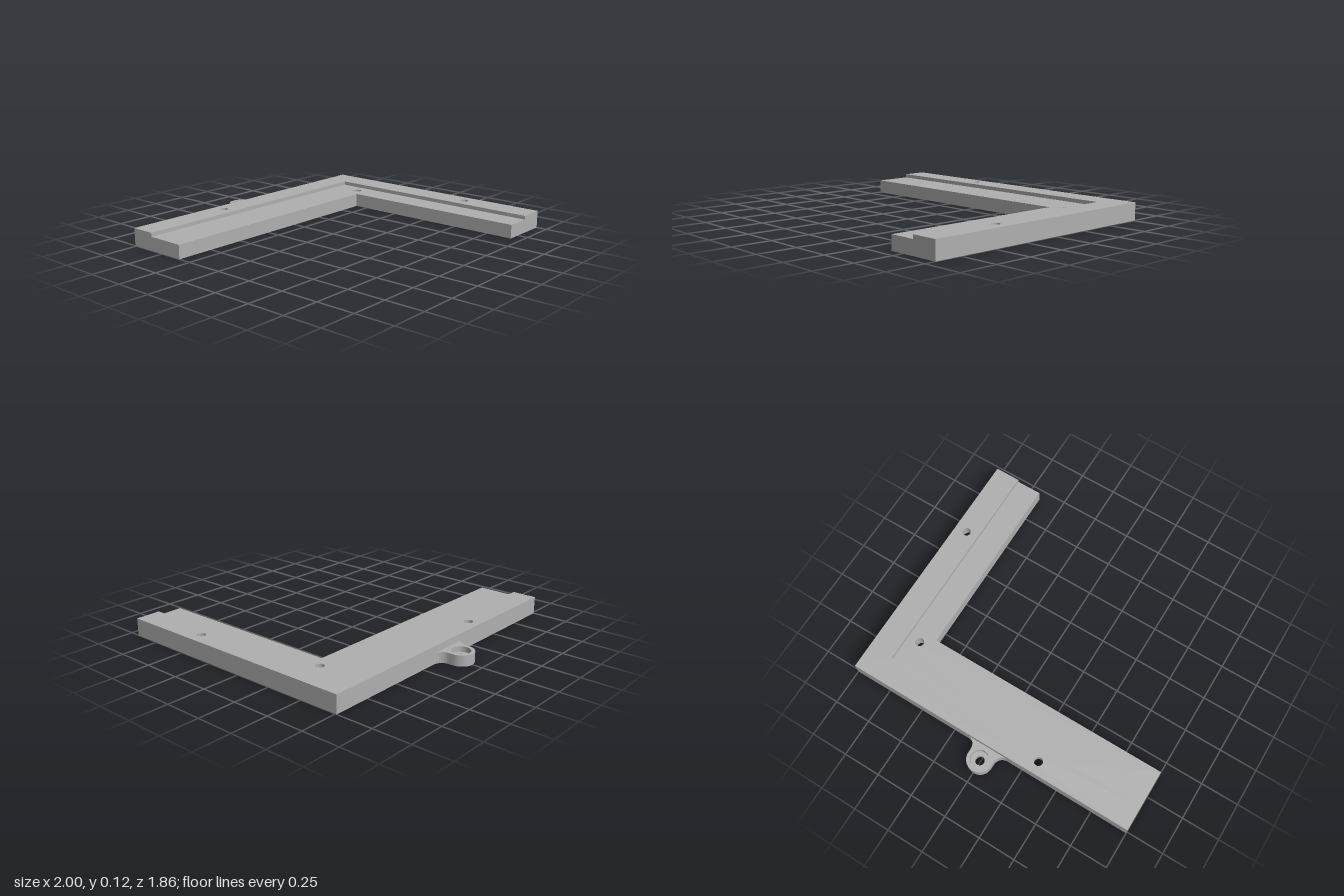
import * as THREE from 'three';
import { toCreasedNormals } from 'three/addons/utils/BufferGeometryUtils.js';

// Plans are drawn as (x, -z) and extruded upward
const BOLT_R = 0.028, NUT_R = 0.056;
const POCKET_Y = 0.06, LEDGE_Y = 0.09, TOP_Y = 0.115;
const BACK = 0.76, FRONT = -0.93;
const rimHoles = [[-0.325, 0.68], [0.915, -0.41]];
const cornerHole = [0.745, 0.405];

function circle(x, y, r) {
  return new THREE.Path().absarc(x, y, r, 0, Math.PI * 2, true);
}

function hexagon(x, y, r) {
  const points = [];
  for (let i = 0; i < 6; i++) {
    const a = i * Math.PI / 3;
    points.push(new THREE.Vector2(x + r * Math.cos(a), y + r * Math.sin(a)));
  }
  return new THREE.Path(points);
}

// L-shaped outline whose inner corner sits at (innerX, innerY)
function angleShape(innerX, innerY, holes) {
  const shape = new THREE.Shape([
    [-1, BACK], [-1, innerY], [innerX, innerY], [innerX, FRONT], [1, FRONT], [1, BACK],
  ].map(([x, y]) => new THREE.Vector2(x, y)));
  shape.holes.push(...holes);
  return shape;
}

// Rounded ear with fillets running into the back edge
function lugShape(holeR) {
  const r = 0.083, f = 0.062, cy = 0.85;
  const shape = new THREE.Shape();
  shape.moveTo(r + f, BACK);
  shape.absarc(r + f, BACK + f, f, -Math.PI / 2, -Math.PI, true);
  shape.lineTo(r, cy);
  shape.absarc(0, cy, r, 0, Math.PI, false);
  shape.lineTo(-r, BACK + f);
  shape.absarc(-r - f, BACK + f, f, 0, -Math.PI / 2, true);
  shape.closePath();
  shape.holes.push(circle(0, cy, holeR));
  return shape;
}

export function createModel() {
  const grey = new THREE.MeshStandardMaterial({ color: 0xb0b0b0 });
  grey.name = 'plain grey';
  const model = new THREE.Group();
  model.name = 'cornerBracket';

  function layer(name, shape, y0, y1) {
    const geometry = new THREE.ExtrudeGeometry(shape, {
      depth: y1 - y0, bevelEnabled: false, curveSegments: 24,
    });
    geometry.rotateX(-Math.PI / 2).translate(0, y0, 0);
    const mesh = new THREE.Mesh(toCreasedNormals(geometry, 0.5), grey);
    mesh.name = name;
    model.add(mesh);
  }

  const bolts = () => rimHoles.map(([x, y]) => circle(x, y, BOLT_R));
  const nuts = rimHoles.map(([x, y]) => hexagon(x, y, NUT_R));
  const corner = () => circle(...cornerHole, BOLT_R);

  // Base with hexagonal nut pockets underneath, then the ledge and the raised outer rim
  layer('basePlate', angleShape(0.66, 0.34, [...nuts, corner()]), 0, POCKET_Y);
  layer('ledge', angleShape(0.66, 0.34, [...bolts(), corner()]), POCKET_Y, LEDGE_Y);
  layer('raisedRim', angleShape(0.83, 0.595, bolts()), LEDGE_Y, TOP_Y);

  // Mounting lug with a counterbored hole
  layer('lugBase', lugShape(0.03), 0, 0.035);
  layer('lugCounterbore', lugShape(0.06), 0.035, 0.07);

  return model;
}
